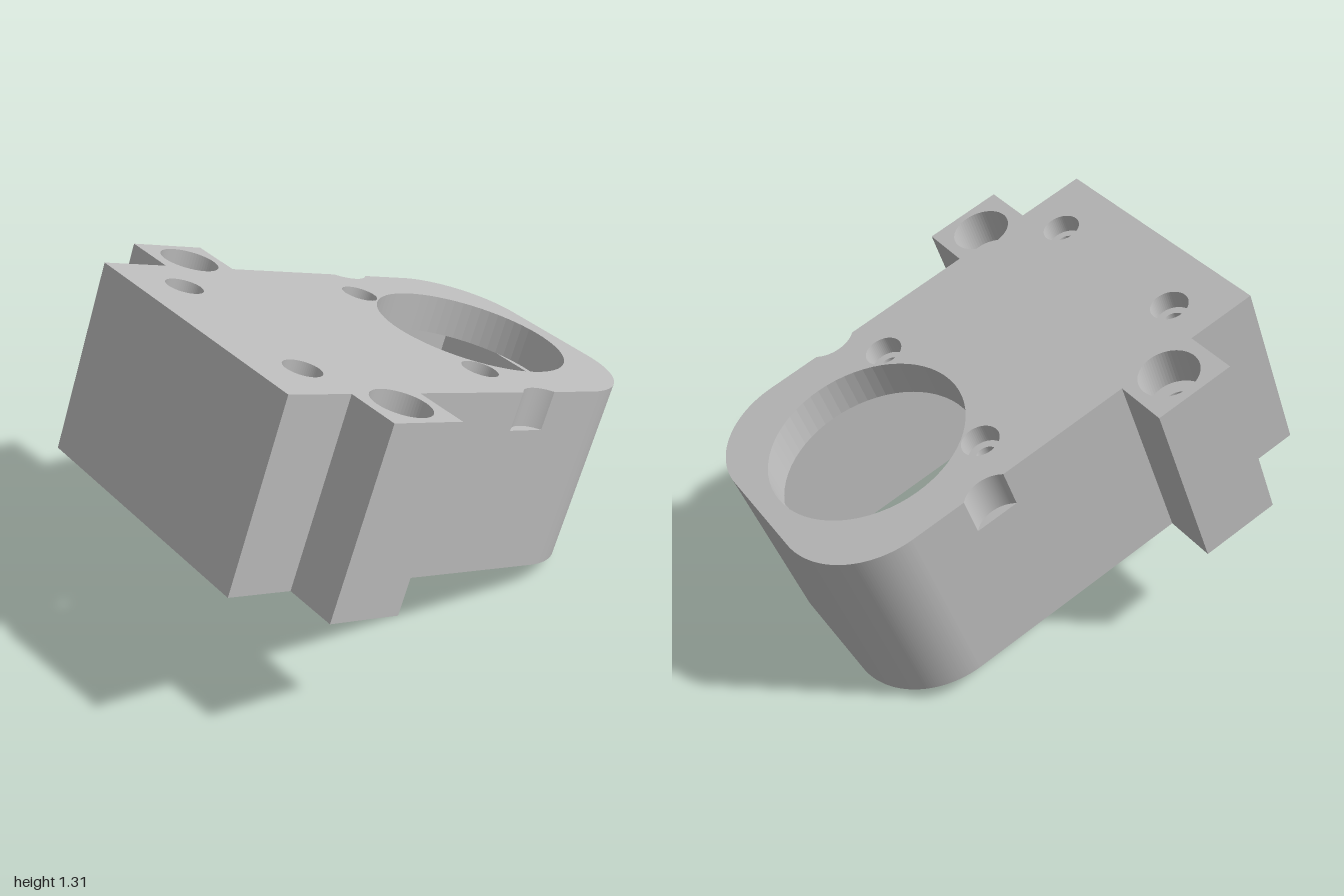
import * as THREE from 'three';

const HALF = 0.544;            // half width of the body
const TOP = 0.985;             // height of the top face before tilting
const BORE = 0.15;             // depth of the top plate, counterbores and notches
const DEPTH = 0.722;           // full body depth

// Outline seen from above: front at -y, rounded back at +y, lugs on both sides
function outline(notched) {
  const s = new THREE.Shape();
  const a = Math.acos(0.073 / 0.11);
  s.moveTo(-HALF, -1.093);
  s.lineTo(HALF, -1.093);
  s.lineTo(HALF, -0.828);
  s.lineTo(0.76, -0.828);
  s.lineTo(0.76, -0.522);
  s.lineTo(HALF, -0.522);
  if (notched) s.absarc(0.617, 0.068, 0.11, Math.PI + a, Math.PI - a, true);
  s.absarc(HALF - 0.33, 0.358, 0.33, 0, Math.PI / 2, false);
  s.absarc(0.33 - HALF, 0.358, 0.33, Math.PI / 2, Math.PI, false);
  if (notched) s.absarc(-0.617, 0.068, 0.11, a, -a, true);
  s.lineTo(-HALF, -0.522);
  s.lineTo(-0.76, -0.522);
  s.lineTo(-0.76, -0.828);
  s.lineTo(-HALF, -0.828);
  s.closePath();
  return s;
}

function addHole(shape, x, y, r) {
  shape.holes.push(new THREE.Path().absarc(x, y, r, 0, Math.PI * 2, true));
}

// Top plate slice: large opening, four screw holes, two lug counterbores
function plateShape(screwRadius) {
  const s = outline(true);
  addHole(s, 0, 0.237, 0.372);
  for (const side of [-1, 1]) {
    addHole(s, side * 0.347, -0.045, screwRadius);
    addHole(s, side * 0.347, -0.88, screwRadius);
    addHole(s, side * 0.617, -0.672, 0.11);
  }
  return s;
}

// Walls around the rectangular cavity, with narrow bolt holes through the lugs
function wallShape() {
  const s = outline(false);
  s.holes.push(new THREE.Path([
    [-0.426, -0.98], [-0.426, 0.583], [0.426, 0.583], [0.426, -0.98],
  ].map(([x, y]) => new THREE.Vector2(x, y))));
  for (const side of [-1, 1]) addHole(s, side * 0.617, -0.672, 0.057);
  return s;
}

export function createModel() {
  const grey = new THREE.MeshStandardMaterial({ color: 0xbebebe });
  grey.name = 'plain grey';

  const housing = new THREE.Group();
  housing.name = 'housing';

  // Slices stacked from the top face downward
  const slices = [
    ['topPlateCounterbores', plateShape(0.07), 0, 0.075],
    ['topPlateScrewHoles', plateShape(0.04), 0.075, BORE],
    ['housingWalls', wallShape(), BORE, DEPTH],
  ];
  for (const [name, shape, from, to] of slices) {
    const geometry = new THREE.ExtrudeGeometry(shape, {
      depth: to - from, bevelEnabled: false, curveSegments: 32,
    });
    geometry.rotateX(-Math.PI / 2);
    const mesh = new THREE.Mesh(geometry, grey);
    mesh.name = name;
    mesh.position.set(0.046, TOP - to, 0);
    housing.add(mesh);
  }

  // The housing leans down toward the back and is turned slightly
  housing.rotation.set(-0.362, -0.12, 0, 'YXZ');

  const model = new THREE.Group();
  model.name = 'tiltedHousing';
  model.add(housing);
  return model;
}
